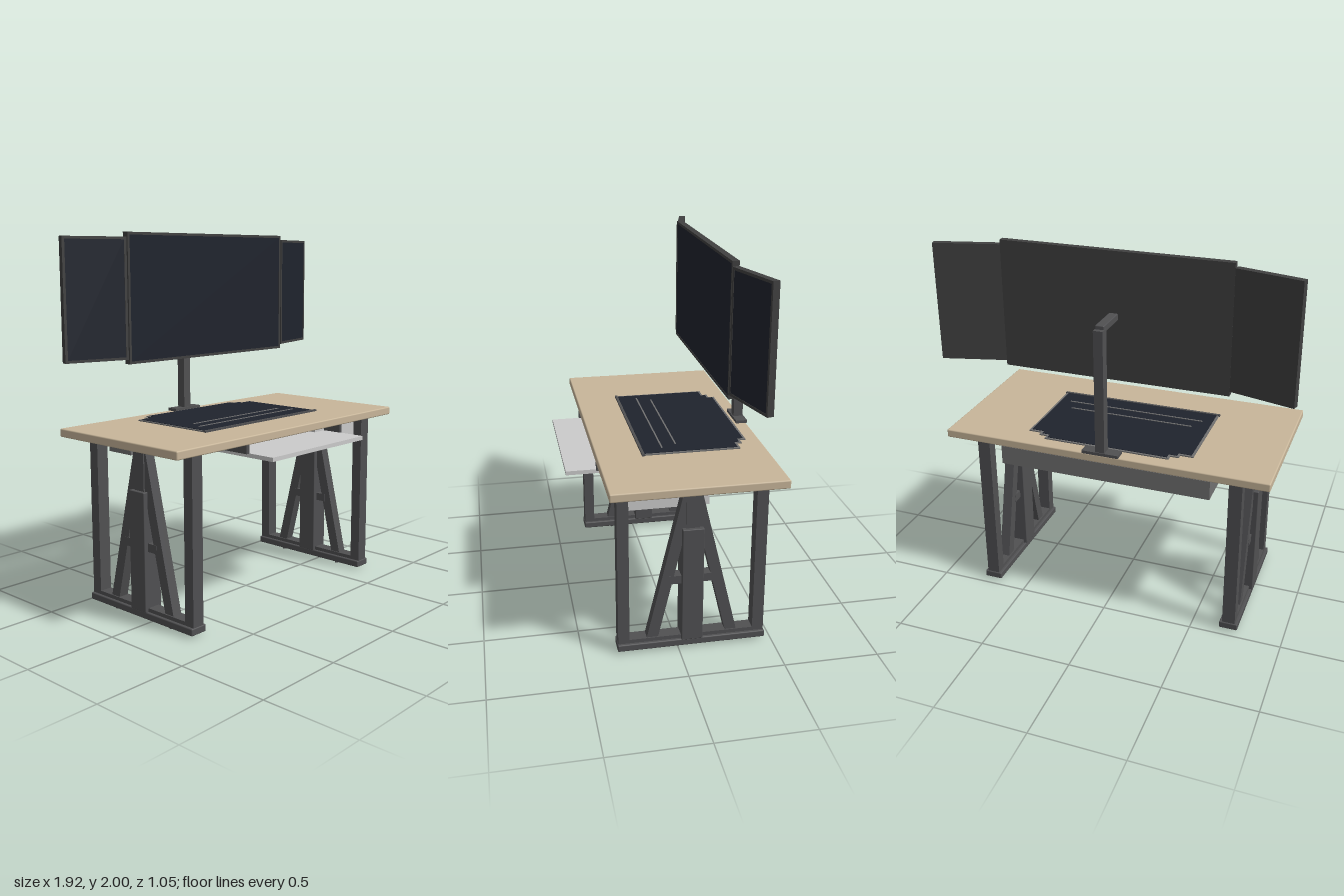
import * as THREE from 'three';
import { RoundedBoxGeometry } from 'three/addons/geometries/RoundedBoxGeometry.js';

const mat = (color) => new THREE.MeshStandardMaterial({ color });
const wood = mat(0xc8b69a), metal = mat(0x505052), frameMat = mat(0x404040);
const screenMat = mat(0x1f232d), light = mat(0xcccccc), grey = mat(0x707070);

// Box given by its extents on each axis
function box(parent, name, [x0, x1], [y0, y1], [z0, z1], material, radius = 0) {
  const s = [x1 - x0, y1 - y0, z1 - z0];
  const geo = radius ? new RoundedBoxGeometry(...s, 2, radius) : new THREE.BoxGeometry(...s);
  const mesh = new THREE.Mesh(geo, material);
  mesh.name = name;
  mesh.position.set((x0 + x1) / 2, (y0 + y1) / 2, (z0 + z1) / 2);
  parent.add(mesh);
  return mesh;
}

// Leaning strut: a box whose top is shifted along z
function strut(parent, name, zBottom, zTop) {
  const y0 = 0.05, y1 = 0.935;
  const geo = new THREE.BoxGeometry(0.056, y1 - y0, 0.06);
  const p = geo.attributes.position;
  for (let i = 0; i < p.count; i++) {
    p.setZ(i, p.getZ(i) + (p.getY(i) > 0 ? zTop : zBottom));
  }
  geo.computeVertexNormals();
  const mesh = new THREE.Mesh(geo, metal);
  mesh.name = name;
  mesh.position.y = (y0 + y1) / 2;
  parent.add(mesh);
}

// Side frame: floor beam, two posts, lifting column and A-shaped struts
function sideFrame(x) {
  const g = new THREE.Group();
  g.name = 'sideFrame';
  g.position.x = x;
  box(g, 'floorBeam', [-0.05, 0.05], [0.014, 0.052], [-0.465, 0.32], metal, 0.006);
  box(g, 'floorStrip', [-0.035, 0.035], [0.05, 0.072], [-0.41, 0.27], metal);
  box(g, 'frontPost', [-0.035, 0.035], [0.05, 0.935], [0.257, 0.316], metal);
  box(g, 'rearPost', [-0.035, 0.035], [0.05, 0.935], [-0.46, -0.4], metal);
  box(g, 'lowerColumn', [-0.055, 0.055], [0.05, 0.69], [-0.127, -0.015], metal, 0.004);
  box(g, 'upperColumn', [-0.035, 0.035], [0.69, 0.935], [-0.107, -0.035], metal);
  strut(g, 'frontStrut', 0.14, -0.066);
  strut(g, 'rearStrut', -0.288, -0.076);
  box(g, 'strutCrossbar', [-0.03, 0.03], [0.375, 0.42], [-0.19, 0.05], metal);
  for (const z of [0.14, -0.28]) {
    const foot = new THREE.Mesh(new THREE.CylinderGeometry(0.03, 0.03, 0.016, 16), metal);
    foot.name = 'foot';
    foot.position.set(0, 0.008, z);
    foot.scale.z = 0.4;
    g.add(foot);
  }
  return g;
}

// Monitor with bezel, front face on local z = 0
function monitor(name, w, h) {
  const g = new THREE.Group();
  g.name = name;
  const b = 0.014, t = 0.036, x = w / 2, y = h / 2;
  box(g, 'monitorBack', [-x, x], [-y, y], [-t, -0.006], frameMat);
  for (const s of [-1, 1]) {
    const cx = s * (x - b / 2), cy = s * (y - b / 2);
    box(g, 'sideBezel', [cx - b / 2, cx + b / 2], [-y, y], [-0.006, 0], frameMat);
    box(g, 'edgeBezel', [b - x, x - b], [cy - b / 2, cy + b / 2], [-0.006, 0], frameMat);
  }
  box(g, 'screen', [b - x, x - b], [b - y, y - b], [-0.008, -0.002], screenMat);
  return g;
}

// Desk mat with stepped rear corners, inset by d
function matPanel(name, d, y0, y1, material) {
  const half = [[0.46, -0.135], [0.46, 0.385], [0.39, 0.385], [0.39, 0.412], [0.345, 0.412], [0.345, 0.445]]
    .map(([x, z]) => [x - d, z < 0 ? z + d : z - d]);
  const pts = [...half, ...half.map(([x, z]) => [-x, z]).reverse()];
  const shape = new THREE.Shape(pts.map(([x, z]) => new THREE.Vector2(x, z)));
  const geo = new THREE.ExtrudeGeometry(shape, { depth: y1 - y0, bevelEnabled: false });
  geo.rotateX(-Math.PI / 2);
  const mesh = new THREE.Mesh(geo, material);
  mesh.name = name;
  mesh.position.y = y0;
  return mesh;
}

export function createModel() {
  const model = new THREE.Group();
  model.name = 'desk';

  box(model, 'tableTop', [-0.89, 0.89], [0.935, 0.98], [-0.52, 0.37], wood, 0.007);
  model.add(sideFrame(-0.705), sideFrame(0.705));

  // Under the top
  box(model, 'crossBeam', [-0.675, 0.675], [0.87, 0.935], [-0.275, -0.2], metal);
  box(model, 'cableTray', [-0.58, 0.58], [0.815, 0.92], [-0.492, -0.315], grey);
  for (const x of [-0.5, 0.5]) {
    box(model, 'cableTrayHanger', [x - 0.02, x + 0.02], [0.92, 0.935], [-0.46, -0.35], metal);
  }
  box(model, 'drawerUnit', [0.295, 0.67], [0.78, 0.935], [-0.17, 0.26], light);
  box(model, 'keyboardTray', [-0.385, 0.385], [0.87, 0.892], [0.13, 0.525], light);
  for (const x of [-0.392, 0.392]) {
    box(model, 'trayRail', [x - 0.011, x + 0.011], [0.89, 0.935], [-0.05, 0.368], metal);
  }

  // Desk mat
  model.add(matPanel('matBorder', 0, 0.98, 0.986, grey));
  model.add(matPanel('matSurface', 0.012, 0.984, 0.988, screenMat));
  box(model, 'matFrontEdge', [-0.465, 0.465], [0.98, 0.99], [0.124, 0.138], metal);
  box(model, 'matRidge', [-0.355, 0.35], [0.986, 0.991], [-0.064, -0.056], grey);
  box(model, 'matRidge', [-0.395, 0.39], [0.986, 0.991], [0.016, 0.024], grey);

  // Monitor stand
  box(model, 'standBase', [-0.1, 0.1], [0.98, 0.996], [-0.525, -0.462], metal);
  box(model, 'standPole', [-0.025, 0.025], [0.99, 1.66], [-0.52, -0.468], metal);
  box(model, 'standArm', [-0.024, 0.024], [1.643, 1.68], [-0.495, -0.3], metal, 0.005);

  // Monitors
  const main = monitor('mainMonitor', 1.226, 0.685);
  main.position.set(0, 1.6575, -0.267);
  model.add(main);
  for (const s of [-1, 1]) {
    const side = monitor('sideMonitor', 0.353, 0.635);
    side.position.set(s * 0.791, 1.6575, -0.312);
    side.rotation.y = s * 0.258;
    model.add(side);
  }
  return model;
}
